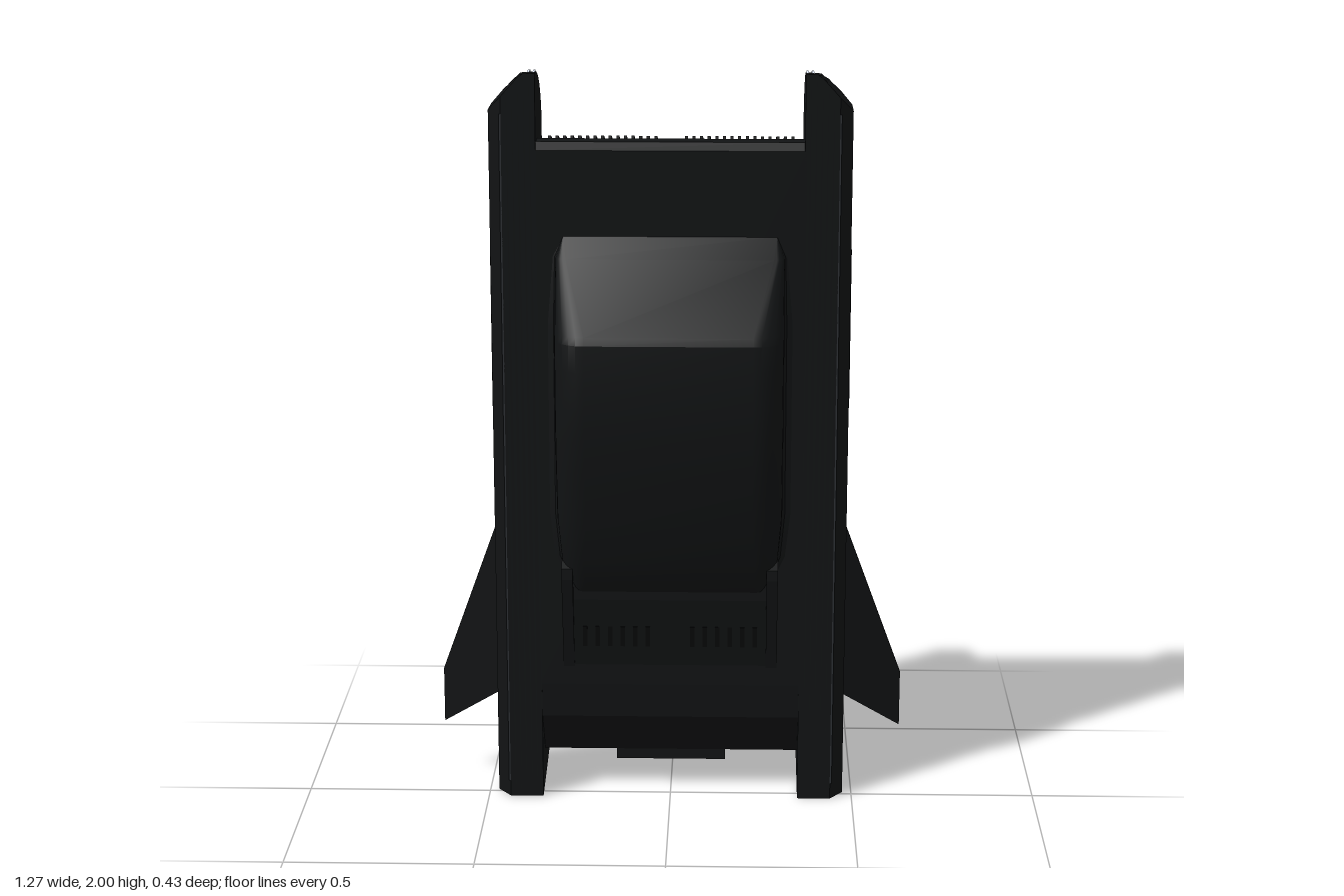
import * as THREE from 'three';
import { toCreasedNormals } from 'three/addons/utils/BufferGeometryUtils.js';

const mat = (color) => new THREE.MeshStandardMaterial({ color });
const hull = mat(0x111314), dark = mat(0x08090a), trim = mat(0x2c2f33), silver = mat(0x9aa0a8);
const blue = mat(0x1a7cc4), cyan = mat(0x26a0c4), red = mat(0x6b1a1c), white = mat(0xe8f0ff);

function add(parent, name, geo, material) {
  const m = new THREE.Mesh(geo, material);
  m.name = name;
  parent.add(m);
  return m;
}

function box(parent, name, material, w, h, d, x, y, z) {
  const m = add(parent, name, new THREE.BoxGeometry(w, h, d), material);
  m.position.set(x, y, z);
  return m;
}

// Prism across x from a profile of [z, y] points
function prism(pts, width, x = 0) {
  const shape = new THREE.Shape(pts.map((p) => new THREE.Vector2(...p)));
  const g = new THREE.ExtrudeGeometry(shape, { depth: width, bevelEnabled: false });
  return g.rotateY(-Math.PI / 2).translate(x + width / 2, 0, 0);
}

// Side pod: a box whose width, top and bottom follow z
const podCurve = (z) => 1.82 + 0.18 * Math.sqrt(Math.max(0, 1 - (Math.min(0, z - 0.02) / 0.23) ** 2));
function podGeometry() {
  const zs = [-0.208, -0.2, -0.185, -0.165, -0.14, -0.11, -0.07, -0.035, 0, 0.035];
  const n = zs.length - 1;
  const g = new THREE.BoxGeometry(1, 1, 1, 6, 1, n);
  const p = g.attributes.position;
  for (let i = 0; i < p.count; i++) {
    const z = zs[Math.round((p.getZ(i) + 0.5) * n)];
    const outer = Math.min(0.475, 0.475 - (-0.11 - z) * 1.02, 0.475 - z);
    const x = 0.35 + (p.getX(i) + 0.5) * (outer - 0.35);
    const top = Math.min(podCurve(z), 2 - Math.max(0, x - 0.385) * 1.1);
    const bottom = (0.035 - z) * 0.16;
    p.setXYZ(i, x, p.getY(i) > 0 ? top : bottom, z);
  }
  return toCreasedNormals(g, 0.5);
}

// Canopy: rounded cross-sections [y, height, half width] lofted upwards
function canopyGeometry() {
  const sections = [
    [0.56, 0, 0.25], [0.63, 0.055, 0.265], [0.7, 0.085, 0.29], [0.82, 0.124, 0.3], [0.97, 0.16, 0.3],
    [1.07, 0.175, 0.3], [1.15, 0.182, 0.3], [1.25, 0.182, 0.3], [1.32, 0.178, 0.3],
    [1.34, 0.168, 0.3], [1.52, 0.04, 0.3], [1.575, 0, 0.28],
  ];
  const base = 0.034, pos = [], idx = [];
  let n = 0;
  for (const [y, h, w] of sections) {
    const r = Math.min(0.08, h * 0.7), f = Math.min(0.025, h * 0.25);
    const half = [[w + f, 0], [w + f * 0.3, f * 0.3], [w, f]];
    for (let k = 0; k <= 6; k++) {
      const a = (k / 6) * Math.PI / 2;
      half.push([w - r + r * Math.cos(a), h - r + r * Math.sin(a)]);
    }
    const row = [...half.map(([x, z]) => [-x, z]), ...half.reverse()];
    n = row.length;
    for (const [x, z] of row) pos.push(x, y, base + z);
  }
  for (let i = 0; i < sections.length - 1; i++) {
    for (let j = 0; j < n - 1; j++) {
      const a = i * n + j, b = a + n;
      idx.push(a, a + 1, b + 1, a, b + 1, b);
    }
  }
  const g = new THREE.BufferGeometry();
  g.setAttribute('position', new THREE.Float32BufferAttribute(pos, 3));
  g.setIndex(idx);
  return toCreasedNormals(g, 0.4);
}

// Upright stadium-shaped ring
function ovalRing(halfStraight, radius, tube) {
  const pts = [];
  for (let k = 0; k < 32; k++) {
    const a = ((k + 0.5) / 32) * Math.PI * 2;
    pts.push(new THREE.Vector3(Math.cos(a) * radius, Math.sin(a) * radius + Math.sign(Math.sin(a)) * halfStraight, 0));
  }
  return new THREE.TubeGeometry(new THREE.CatmullRomCurve3(pts, true), 96, tube, 6, true);
}

// Everything on the model's left; the other side is its mirror
function buildSide() {
  const side = new THREE.Group();
  add(side, 'sidePod', podGeometry(), hull);

  // Swept wing, sheared backwards towards the tip
  const outline = [[0.465, 0.79], [0.635, 0.315], [0.635, 0.16], [0.475, 0.275], [0.465, 0.27]];
  const wing = new THREE.ExtrudeGeometry(new THREE.Shape(outline.map((p) => new THREE.Vector2(...p))),
    { depth: 0.012, bevelEnabled: false });
  const p = wing.attributes.position;
  for (let i = 0; i < p.count; i++) p.setZ(i, p.getZ(i) - 0.063 - (p.getX(i) - 0.475) * 0.44);
  wing.computeVertexNormals();
  add(side, 'wing', wing, hull);

  // Pod trim
  box(side, 'sideStrip', silver, 0.004, 1.7, 0.006, 0.475, 0.93, -0.085);
  box(side, 'frontStrip', trim, 0.005, 1.85, 0.004, 0.442, 0.97, 0.033);
  box(side, 'sideVent', dark, 0.004, 0.43, 0.045, 0.475, 1.315, -0.04);
  for (const x of [0.355, 0.369]) box(side, 'headlight', white, 0.006, 0.014, 0.055, x, 1.992, -0.018);
  for (const z of [-0.135, -0.153, -0.169]) box(side, 'tailLight', red, 0.06, 0.004, 0.004, 0.415, 0.022, z);

  // Lift panels on the underside
  for (const y of [1.6, 1.295, 0.975, 0.645, 0.32]) {
    box(side, 'liftPanel', blue, 0.075, 0.175, 0.008, 0.3375, y, -0.209);
  }

  // Rear deck rail and louvres
  add(side, 'deckRail', prism([[0.03, 0.36], [0.1, 0.65], [0.1, 0.68], [0.03, 0.72]], 0.03, 0.275), hull);
  for (let i = 0; i < 6; i++) {
    const slot = box(side, 'deckLouvre', dark, 0.012, 0.06, 0.008, 0.06 + i * 0.034, 0.475, 0.05);
    slot.rotation.x = 0.16;
  }

  // Nose grille and frame
  for (let i = 0; i < 15; i++) {
    box(side, 'noseGrille', dark, 0.008, 0.012, 0.04, 0.04 + i * 0.02, 1.811, -0.085).rotation.x = -0.3;
  }
  for (const [y, z] of [[1.737, -0.192], [1.776, -0.164]]) {
    box(side, 'noseFrame', dark, 0.3, 0.008, 0.008, 0.18, y, z);
  }
  for (const x of [0.03, 0.33]) {
    box(side, 'noseFrame', dark, 0.008, 0.008, 0.046, x, 1.757, -0.178).rotation.x = -0.95;
  }
  return side;
}

export function createModel() {
  const model = new THREE.Group();
  model.name = 'hoverCraft';

  // Central hull with sloped nose and tail
  add(model, 'body', prism([
    [0.035, 0.33], [0.03, 0.235], [-0.06, 0.105], [-0.19, 0.105], [-0.207, 0.13],
    [-0.207, 1.71], [-0.16, 1.782], [-0.1, 1.808], [-0.04, 1.82], [0.015, 1.82], [0.035, 1.8],
  ], 0.71), hull);
  add(model, 'canopy', canopyGeometry(), hull);
  add(model, 'rearDeck', prism([[0.03, 0.36], [0.072, 0.585], [0.072, 0.64], [0.03, 0.64]], 0.52), hull);
  box(model, 'tailBlock', hull, 0.3, 0.06, 0.12, 0, 0.106, -0.12);
  box(model, 'undersideSeam', dark, 0.006, 1.58, 0.003, 0, 0.92, -0.2075);

  const left = buildSide();
  left.name = 'leftSide';
  const right = buildSide();
  right.name = 'rightSide';
  right.scale.x = -1;
  model.add(left, right);

  // Glowing oval emitter with concentric rings
  const emitter = new THREE.Group();
  emitter.name = 'emitter';
  emitter.position.set(0, 0.92, -0.207);
  model.add(emitter);
  for (let i = 0; i < 4; i++) {
    add(emitter, 'emitterRing', ovalRing(0.15, 0.052 + i * 0.016, 0.005), i % 2 ? trim : hull);
  }
  for (let i = 0; i < 10; i++) {
    const cell = add(emitter, 'emitterCell', new THREE.CylinderGeometry(0.04, 0.04, 0.008, 16), cyan);
    cell.rotation.x = Math.PI / 2;
    cell.position.y = -0.15 + i * (0.3 / 9);
  }
  return model;
}
